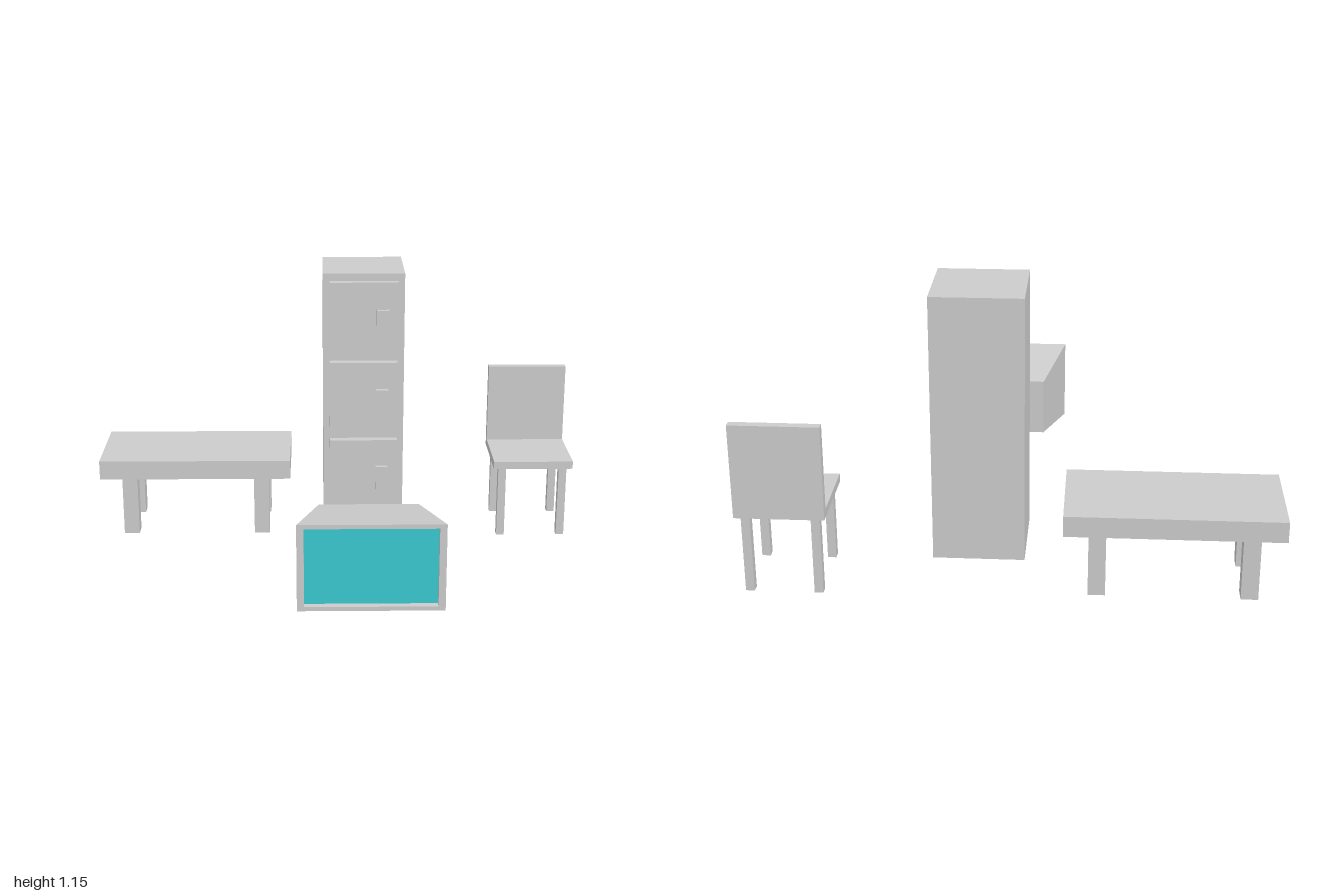
import * as THREE from 'three';

const grey = new THREE.MeshStandardMaterial({ color: 0xcccccc });
const teal = new THREE.MeshStandardMaterial({ color: 0x38c8d0 });

// Box given by its extents on each axis
function block(parent, name, [x0, x1], [y0, y1], [z0, z1]) {
  const mesh = new THREE.Mesh(new THREE.BoxGeometry(x1 - x0, y1 - y0, z1 - z0), grey);
  mesh.position.set((x0 + x1) / 2, (y0 + y1) / 2, (z0 + z1) / 2);
  mesh.name = name;
  parent.add(mesh);
  return mesh;
}

function legs(parent, name, xs, y, zs) {
  for (const x of xs) for (const z of zs) block(parent, name, x, y, z);
}

function group(parent, name) {
  const g = new THREE.Group();
  g.name = name;
  parent.add(g);
  return g;
}

function buildTable(parent) {
  const table = group(parent, 'table');
  block(table, 'tableTop', [-1, -0.2], [0.28, 0.36], [-0.72, -0.32]);
  legs(table, 'tableLeg', [[-0.912, -0.848], [-0.355, -0.291]], [0.02, 0.28],
    [[-0.424, -0.36], [-0.672, -0.607]]);
}

function buildCabinet(parent) {
  const cabinet = group(parent, 'cabinet');
  block(cabinet, 'cabinetBody', [-0.06, 0.274], [0.155, 1.155], [-0.67, -0.338]);
  for (let i = 0; i < 3; i++) {
    const y = 0.18 + i * 0.335;
    block(cabinet, 'cabinetDoor', [-0.033, 0.247], [y, y + 0.275], [-0.338, -0.304]);
    block(cabinet, 'doorHandle', [0.158, 0.209], [y + 0.06, y + 0.163], [-0.304, -0.284]);
  }
}

function buildChair(parent) {
  const chair = group(parent, 'chair');
  block(chair, 'chairSeat', [0.664, 0.998], [0.304, 0.336], [-0.693, -0.361]);
  block(chair, 'chairBack', [0.664, 0.998], [0.336, 0.67], [-0.693, -0.66]);
  legs(chair, 'chairLeg', [[0.684, 0.717], [0.941, 0.974]], [0, 0.304],
    [[-0.406, -0.372], [-0.68, -0.647]]);
}

function buildTelevision(parent) {
  const tv = group(parent, 'television');
  tv.position.set(0.107, 0.32, 0);
  const front = 0.715, back = 0.385, recess = 0.685;
  const halfW = 0.267, halfH = 0.166, openW = 0.241, openH = 0.15;

  // Narrow the outer shell towards the back, leaving the screen opening straight
  const taper = (geo) => {
    const p = geo.attributes.position;
    for (let i = 0; i < p.count; i++) {
      if (Math.abs(p.getX(i)) < openW + 0.001) continue;
      const k = 1 - 0.3 * (front - p.getZ(i)) / (front - back);
      p.setXY(i, p.getX(i) * k, p.getY(i) * k);
    }
    geo.computeVertexNormals();
    return geo;
  };
  const add = (name, geo, material) => {
    const mesh = new THREE.Mesh(geo, material);
    mesh.name = name;
    tv.add(mesh);
  };
  const rect = (Type, w, h) => new Type([[-w, -h], [w, -h], [w, h], [-w, h]]
    .map(([x, y]) => new THREE.Vector2(x, y)));

  // Frame around the recessed screen
  const outline = rect(THREE.Shape, halfW, halfH);
  outline.holes.push(rect(THREE.Path, openW, openH));
  const frame = new THREE.ExtrudeGeometry(outline, { depth: front - recess, bevelEnabled: false });
  add('televisionFrame', taper(frame.translate(0, 0, recess)), grey);

  // Tapered housing
  const body = new THREE.BoxGeometry(halfW * 2, halfH * 2, recess - back);
  add('televisionBody', taper(body.translate(0, 0, (recess + back) / 2)), grey);

  add('screen', new THREE.PlaneGeometry(openW * 2, openH * 2).translate(0, 0, recess + 0.002), teal);

  // Foot under the housing
  block(tv, 'televisionFoot', [-0.111, 0.111], [-0.204, -0.125], [0.481, 0.604]);
}

export function createModel() {
  const model = new THREE.Group();
  model.name = 'furnitureSet';
  buildTable(model);
  buildCabinet(model);
  buildChair(model);
  buildTelevision(model);
  return model;
}
